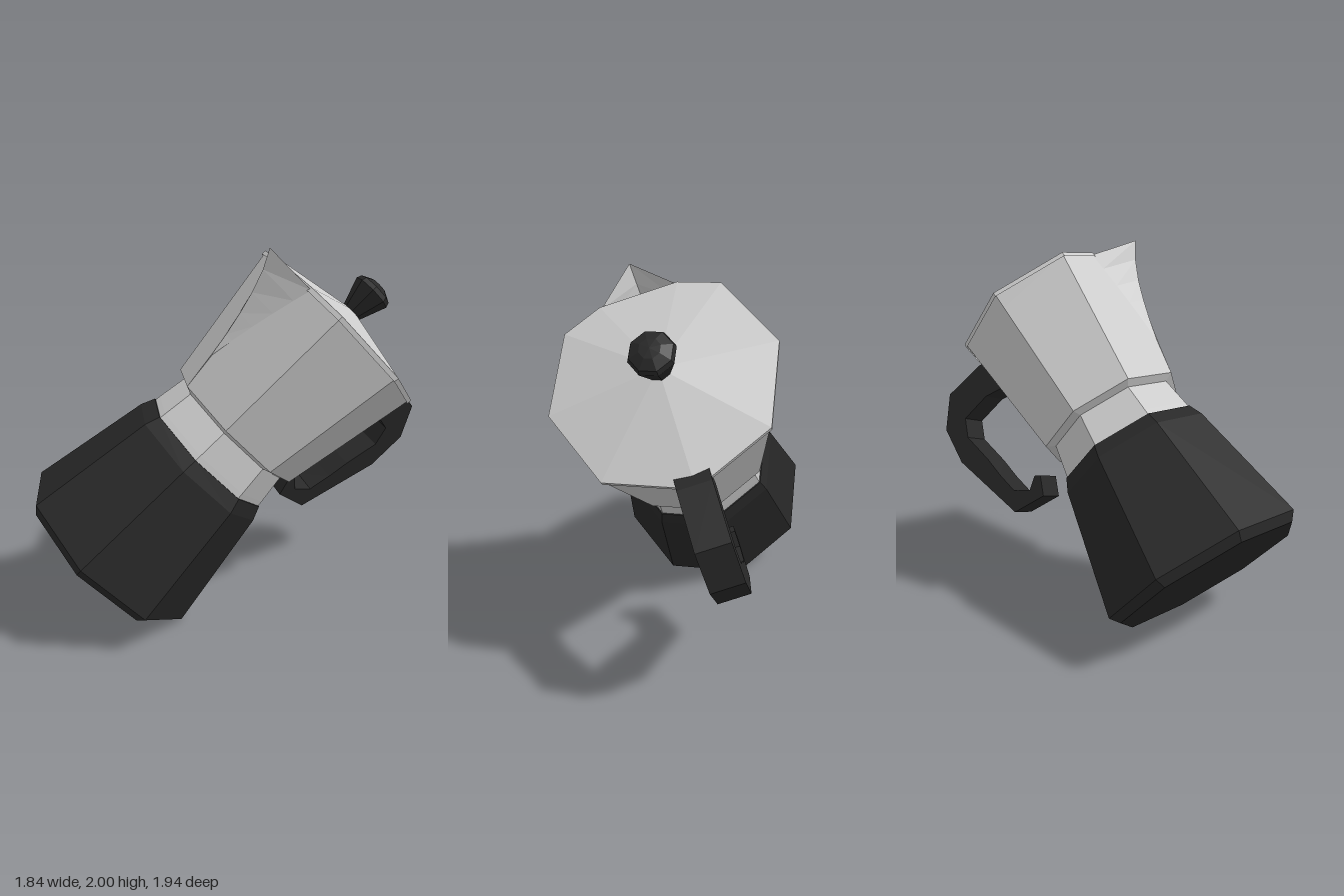
import * as THREE from 'three';

const silver = new THREE.MeshStandardMaterial({ color: 0xcccccc, flatShading: true, side: THREE.DoubleSide });
const black = new THREE.MeshStandardMaterial({ color: 0x282828, flatShading: true, side: THREE.DoubleSide });

function add(group, name, geometry, material) {
  const flat = geometry.index ? geometry.toNonIndexed() : geometry;
  flat.computeVertexNormals();
  const mesh = new THREE.Mesh(flat, material);
  mesh.name = name;
  group.add(mesh);
  return mesh;
}

// Eight-sided turned part from [radius, height] pairs; one corner faces +z
const turned = (profile) =>
  new THREE.LatheGeometry(profile.map(([r, y]) => new THREE.Vector2(r, y)), 8);

// Octagon whose front corner is moved to z = nose, leaving the flat
// sides at a fraction t of the way to the neighbouring corners
function ring(y, r, t, nose) {
  const corner = (i) => new THREE.Vector3(r * Math.sin(i * Math.PI / 4), y, r * Math.cos(i * Math.PI / 4));
  const points = [new THREE.Vector3(0, y, nose), corner(0).lerp(corner(1), t)];
  for (let i = 1; i < 8; i++) points.push(corner(i));
  points.push(corner(0).lerp(corner(7), t));
  return points;
}

// Skin a stack of rings
function loft(rings) {
  const n = rings[0].length, index = [];
  for (let i = 0; i < rings.length - 1; i++) {
    for (let j = 0; j < n; j++) {
      const a = i * n + j, b = i * n + (j + 1) % n;
      index.push(a, b, b + n, a, b + n, a + n);
    }
  }
  const geometry = new THREE.BufferGeometry().setFromPoints(rings.flat());
  geometry.setIndex(index);
  return geometry;
}

export function createModel() {
  const pot = new THREE.Group();
  pot.name = 'stovetopPot';

  // Water chamber with chamfered foot and shoulder
  add(pot, 'waterChamber', turned([[0, 0], [0.52, 0], [0.56, 0.045], [0.437, 0.715], [0.405, 0.79], [0, 0.79]]), black);

  // Metal collar and the floor of the jug
  add(pot, 'collar', turned([[0.4, 0.78], [0.395, 0.82], [0.37, 0.98], [0.42, 1.0], [0, 1.0]]), silver);

  // Jug: flaring octagon whose front corner opens into the spout, [height, nose]
  const noseLine = [[1.0, 0.42], [1.2, 0.455], [1.32, 0.48], [1.44, 0.513], [1.55, 0.55], [1.66, 0.6], [1.75, 0.66]];
  const jugRings = noseLine.map(([y, nose]) => {
    const t = 0.5 * Math.max(0.01, (y - 1.2) / 0.55);
    return ring(y, 0.42 + (y - 1) * 0.16, t, nose);
  });
  add(pot, 'jugWithSpout', loft(jugRings), silver);

  // Shallow lid, cut straight across behind the spout
  const lidRings = [[1.735, 0.548], [1.76, 0.548], [1.87, 0.001]]
    .map(([y, r]) => ring(y, r, 0.5, r * 0.854));
  add(pot, 'lid', loft(lidRings), silver);

  // Lid knob
  add(pot, 'knob', turned([[0, 1.85], [0.055, 1.85], [0.11, 2.0], [0.1, 2.025], [0.05, 2.05], [0, 2.055]]), black);

  // Handle outline as [distance behind the axis, height]
  const outline = [
    [0.46, 1.76], [0.54, 1.79], [0.82, 1.78], [0.96, 1.61], [0.965, 1.37], [0.79, 0.9], [0.575, 0.87],
    [0.53, 0.98], [0.565, 1.0], [0.635, 0.95], [0.73, 1.01], [0.765, 1.14], [0.79, 1.27],
    [0.845, 1.47], [0.8, 1.58], [0.6, 1.6], [0.48, 1.57],
  ];
  const shape = new THREE.Shape(outline.map(([d, y]) => new THREE.Vector2(d, y)));
  const width = 0.16;
  const handle = new THREE.ExtrudeGeometry(shape, { depth: width, bevelEnabled: false });
  handle.translate(0, 0, -width / 2).rotateY(Math.PI / 2);
  add(pot, 'handle', handle, black);

  // Tip the whole pot over
  const up = new THREE.Vector3(0.557, 0.695, -0.456).normalize();
  const side = new THREE.Vector3().crossVectors(up, new THREE.Vector3(-0.23, 0.654, 0.72)).normalize();
  const front = new THREE.Vector3().crossVectors(side, up);
  pot.applyMatrix4(new THREE.Matrix4().makeBasis(side, up, front).setPosition(-0.5, 0.35, 0.505));

  const model = new THREE.Group();
  model.name = 'tiltedPot';
  model.add(pot);
  return model;
}
